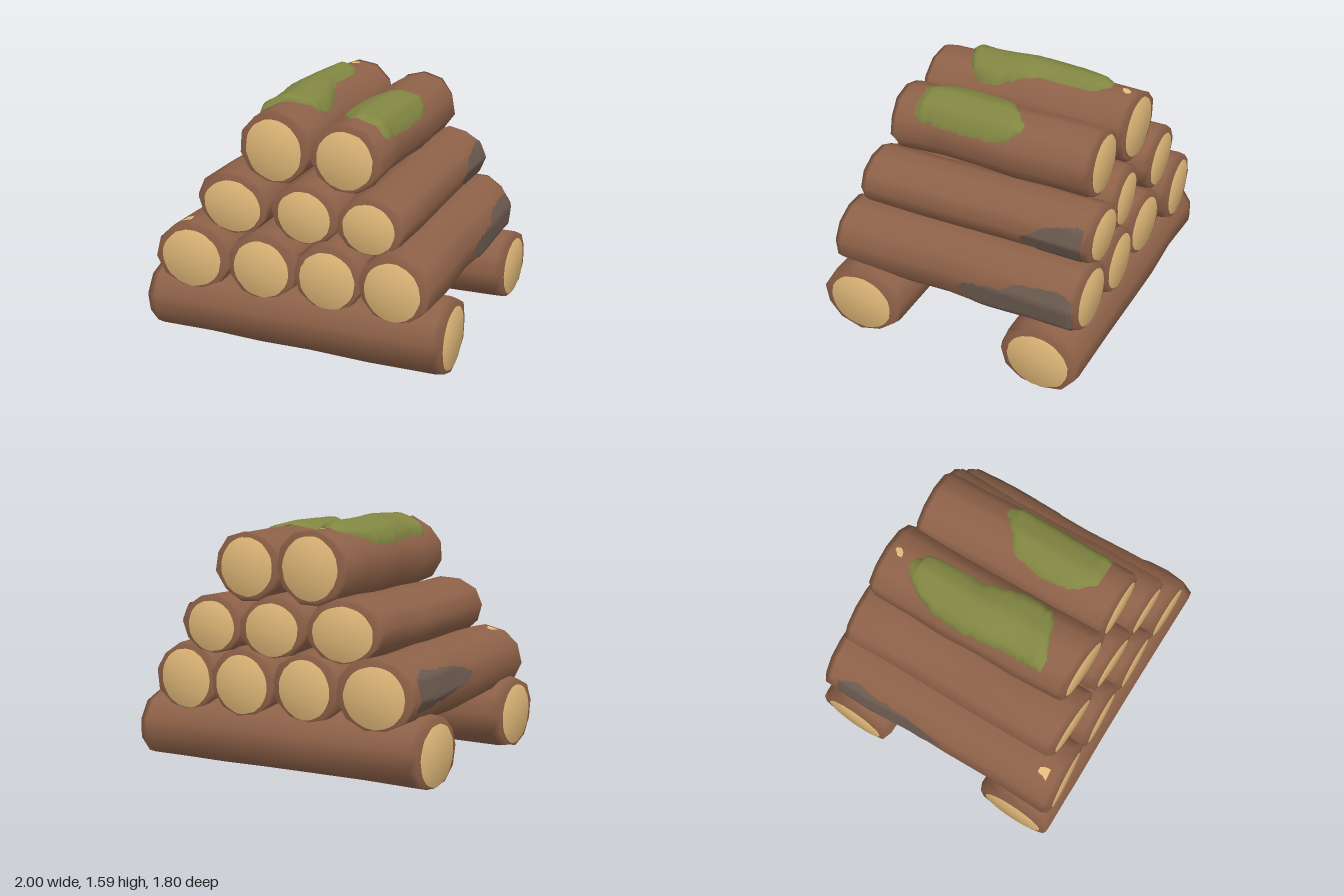
import * as THREE from 'three';
import { mergeVertices } from 'three/addons/utils/BufferGeometryUtils.js';

const SIDES = 11;
const STATIONS = [0, 0.025, 0.2, 0.38, 0.55, 0.75, 0.975, 1];

function makeMaterial(name, color) {
  const m = new THREE.MeshStandardMaterial({ color, side: THREE.DoubleSide });
  m.name = name;
  return m;
}
const bark = makeMaterial('bark', 0x8f6249);
const wood = makeMaterial('cut wood', 0xe5bc7b);
const moss = makeMaterial('moss', 0x818642);
const damp = makeMaterial('damp grey bark', 0x6b5a4f);

// Small seeded generator, returns -1..1
let seed = 7;
function rnd() {
  seed = (seed * 16807) % 2147483647;
  return (seed / 2147483647) * 2 - 1;
}

// Smooth surface from a rule fn(u index, v index) -> [x, y, z]
function grid(fn, nu, nv, flip = false) {
  const pos = [], idx = [];
  for (let v = 0; v <= nv; v++) for (let u = 0; u <= nu; u++) pos.push(...fn(u, v));
  for (let v = 0; v < nv; v++) for (let u = 0; u < nu; u++) {
    const a = v * (nu + 1) + u, b = a + 1, c = a + nu + 1, d = c + 1;
    if (flip) idx.push(a, c, b, b, c, d);
    else idx.push(a, b, c, b, d, c);
  }
  let g = new THREE.BufferGeometry();
  g.setAttribute('position', new THREE.Float32BufferAttribute(pos, 3));
  g.setIndex(idx);
  g = mergeVertices(g, 1e-5);
  g.computeVertexNormals();
  return g;
}

function addMesh(parent, geometry, material, name) {
  const m = new THREE.Mesh(geometry, material);
  m.name = name;
  parent.add(m);
}

// An uneven log along z: closed bark with a cut face on each end.
// sag lowers the underside in the middle.
function makeLog(name, x, y, rx, ry, z0, z1, sag = 0) {
  const group = new THREE.Group();
  group.name = name;
  const ridge = Array.from({ length: SIDES }, () => 0.975 + rnd() * 0.03);
  const turn = rnd() * 0.3;
  const tilt = [rnd() * 0.015, rnd() * 0.015];
  const last = STATIONS.length - 1;
  const rings = STATIONS.map((t, i) => {
    const end = i === 0 || i === last;
    const cx = x + rnd() * 0.008, cy = y + rnd() * 0.008;
    const pts = ridge.map((k, j) => {
      const a = turn + (j / SIDES) * Math.PI * 2;
      const f = (k + rnd() * 0.02) * (end ? 0.95 : 1);
      const slant = (i < 2 ? tilt[0] : i > last - 2 ? tilt[1] : 0) * Math.cos(a);
      const drop = sag * Math.sin(Math.PI * t) * Math.max(0, -Math.sin(a));
      return [cx + rx * f * Math.cos(a), cy + ry * f * Math.sin(a) - drop, z0 + (z1 - z0) * t + slant];
    });
    return { cx, cy, z: z0 + (z1 - z0) * t, pts };
  });
  const middle = (r) => Array(SIDES).fill([r.cx, r.cy, r.z]);
  const rows = [middle(rings[0]), ...rings.map((r) => r.pts), middle(rings[last])];
  addMesh(group, grid((u, v) => rows[v][u % SIDES], SIDES, last + 2), bark, 'bark');

  [0, last].forEach((i) => {
    const { cx, cy, z } = rings[i], front = i === last, s = front ? 1 : -1;
    const slope = tilt[front ? 1 : 0] / (rx * 0.92);
    const n = 36, edge = Array.from({ length: n }, () => 1 + rnd() * 0.015);
    const face = grid((u, v) => {
      const a = (u / n) * Math.PI * 2, r = edge[u % n] * v / 2;
      const dx = rx * 0.75 * r * Math.cos(a);
      return [cx + dx, cy - 0.008 + ry * 0.82 * r * Math.sin(a), z + slope * dx + s * (0.006 + 0.004 * (1 - v / 2))];
    }, n, 2, front);
    // Soft shading that rolls towards the bark
    const p = face.attributes.position, normal = new THREE.Vector3();
    for (let k = 0; k < p.count; k++) {
      normal.set(0.4 * (p.getX(k) - cx) / rx, 0.4 * (p.getY(k) - cy) / ry, s).normalize();
      face.attributes.normal.setXYZ(k, normal.x, normal.y, normal.z);
    }
    addMesh(group, face, wood, 'cutFace');
  });

  // Point on the bark at depth z and angle a, raised by h
  const surface = (z, a, h) => {
    let i = 0;
    while (i < last - 1 && z > rings[i + 1].z) i++;
    const A = rings[i], B = rings[i + 1], t = (z - A.z) / (B.z - A.z);
    const s = ((a - turn) / (Math.PI * 2) + 2) * SIDES, j = Math.floor(s), f = s - j;
    const mix = (k) => {
      const p = THREE.MathUtils.lerp(A.pts[j % SIDES][k], A.pts[(j + 1) % SIDES][k], f);
      const q = THREE.MathUtils.lerp(B.pts[j % SIDES][k], B.pts[(j + 1) % SIDES][k], f);
      return THREE.MathUtils.lerp(p, q, t);
    };
    return [mix(0) + h * Math.cos(a), mix(1) + h * Math.sin(a), mix(2)];
  };
  return { group, surface };
}

// Patch over a log; rows are [z, start angle, end angle] in degrees
function addPatch(log, rows, material, name, thickness, ragged = 3) {
  const nu = 14, per = 4, nv = (rows.length - 1) * per;
  const lines = Array.from({ length: nv + 1 }, (_, v) => {
    const i = Math.min(Math.floor(v / per), rows.length - 2), t = v / per - i;
    const [z, a, b] = rows[i].map((q, k) => THREE.MathUtils.lerp(q, rows[i + 1][k], t));
    return [z, a + rnd() * ragged, b + rnd() * ragged];
  });
  addMesh(log.group, grid((u, v) => {
    const [z, a, b] = lines[v];
    const bulge = Math.sqrt(Math.max(0, Math.sin(Math.PI * u / nu))) * Math.min(1, v / 4, (nv - v) / 4);
    return log.surface(z, THREE.MathUtils.degToRad(a + (b - a) * u / nu), 0.006 + thickness * bulge);
  }, nu, nv), material, name);
}

export function createModel() {
  const model = new THREE.Group();
  model.name = 'logPile';
  const pile = new THREE.Group();
  pile.name = 'stackedLogs';
  model.add(pile);

  // Two bearer logs lying across
  [['frontBearer', -0.62, 0.24, 0.285, 0.24], ['backBearer', 0.635, 0.23, 0.278, 0.232]].forEach(([name, x, y, rx, ry]) => {
    const { group } = makeLog(name, x, y, rx, ry, -0.985, 0.985);
    group.rotation.y = Math.PI / 2;
    pile.add(group);
  });

  // Rows of four, three and two logs
  const logs = {};
  [
    ['bottomLog1', -0.685, 0.578, 0.265, 0.23, -0.88, 0.84, 0.03],
    ['bottomLog2', -0.2, 0.57, 0.245, 0.225, -0.84, 0.83, 0.04],
    ['bottomLog3', 0.24, 0.568, 0.243, 0.225, -0.85, 0.83, 0.04],
    ['bottomLog4', 0.67, 0.575, 0.242, 0.23, -0.84, 0.84, 0.03],
    ['middleLog1', -0.452, 0.932, 0.266, 0.203, -0.83, 0.73],
    ['middleLog2', 0.055, 0.925, 0.24, 0.2, -0.8, 0.74],
    ['middleLog3', 0.482, 0.92, 0.228, 0.193, -0.83, 0.75],
    ['topLog1', -0.2, 1.3, 0.257, 0.24, -0.76, 0.645],
    ['topLog2', 0.28, 1.285, 0.245, 0.225, -0.73, 0.635],
  ].forEach((spec) => {
    logs[spec[0]] = makeLog(...spec);
    pile.add(logs[spec[0]].group);
  });

  // Moss on the top logs
  addPatch(logs.topLog1, [[-0.57, 90, 106], [-0.5, 72, 122], [-0.3, 70, 148], [-0.1, 65, 150], [0.05, 52, 147],
    [0.2, 38, 144], [0.33, 50, 143], [0.4, 82, 145], [0.46, 122, 142]], moss, 'moss', 0.04);
  addPatch(logs.topLog2, [[-0.25, 52, 66], [-0.18, 35, 85], [-0.08, 25, 118], [0.1, 21, 130],
    [0.25, 24, 127], [0.35, 25, 122], [0.43, 28, 108], [0.48, 35, 95]], moss, 'moss', 0.025);

  // Damp grey stains on the outer logs
  addPatch(logs.bottomLog4, [[-0.03, -10, -4], [-0.15, -27, 8], [-0.3, -40, 11], [-0.45, -53, 27],
    [-0.6, -54, 33], [-0.75, -48, 33], [-0.82, -35, 22]], damp, 'stain', 0);
  addPatch(logs.middleLog3, [[-0.37, -15, -7], [-0.5, -32, 19], [-0.65, -38, 36], [-0.74, -35, 42],
    [-0.79, -32, 40]], damp, 'stain', 0);
  addPatch(logs.bottomLog1, [[0.02, 168, 176], [-0.12, 156, 186], [-0.3, 150, 190], [-0.5, 144, 197],
    [-0.68, 140, 205], [-0.78, 152, 205]], damp, 'stain', 0);

  // Small bare chips in the bark
  addPatch(logs.topLog1, [[-0.7, 87, 91], [-0.67, 84, 97], [-0.64, 92, 96]], wood, 'bareChip', 0, 1);
  addPatch(logs.bottomLog1, [[0.68, 104, 111], [0.72, 100, 114], [0.75, 100, 117]], wood, 'bareChip', 0, 1);

  // Centred and standing on the ground
  const box = new THREE.Box3().setFromObject(pile);
  const mid = box.getCenter(new THREE.Vector3());
  pile.position.set(-mid.x, -box.min.y, -mid.z);
  return model;
}
